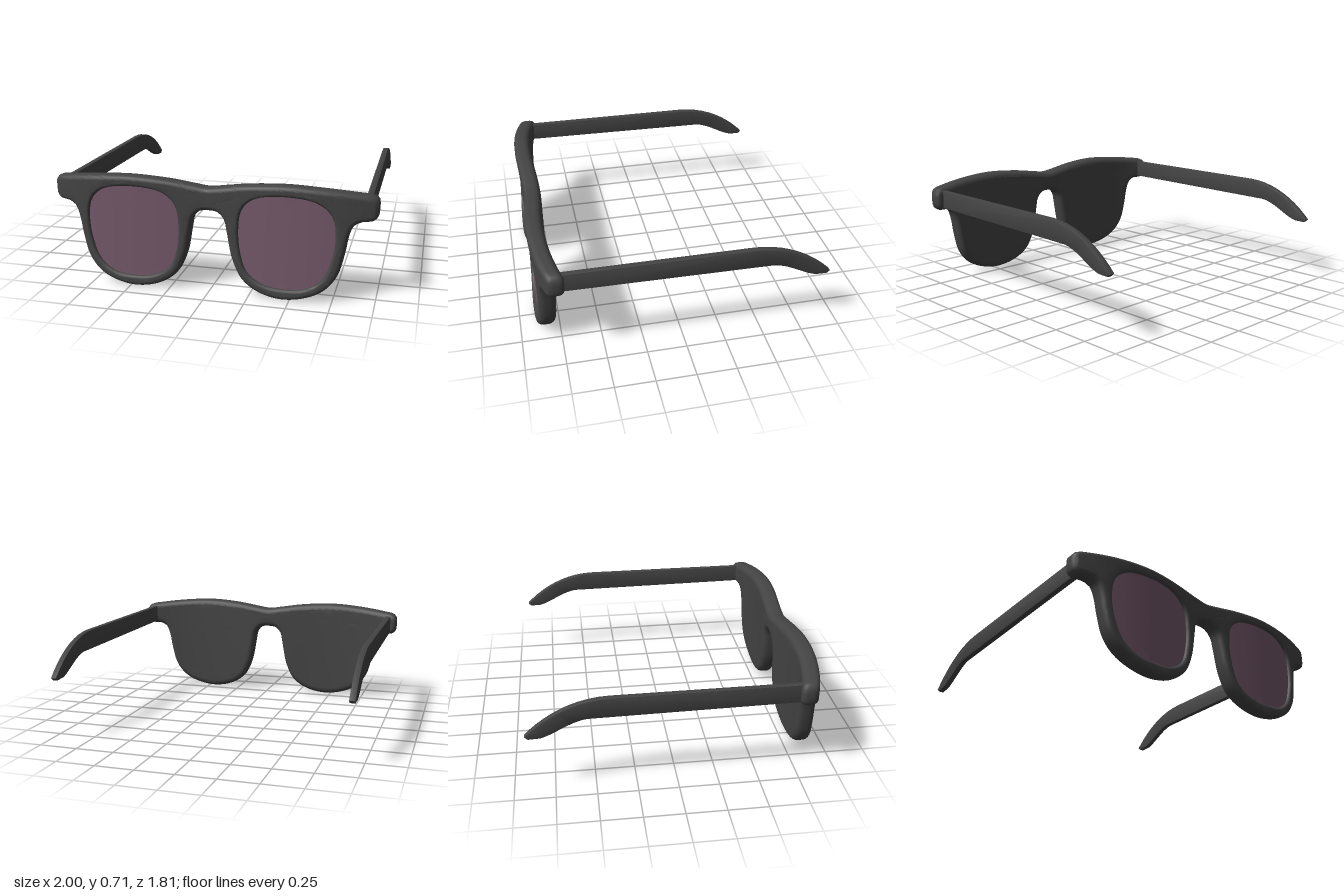
import * as THREE from 'three';
import { toCreasedNormals } from 'three/addons/utils/BufferGeometryUtils.js';

const frameMaterial = new THREE.MeshStandardMaterial({ color: 0x444444 });
const lensMaterial = new THREE.MeshStandardMaterial({ color: 0x75596a });
const HALF = 0.055; // half the thickness of the frame front

// Smooth closed loop through a few points, counter-clockwise
function smoothLoop(points, count) {
  const curve = new THREE.CatmullRomCurve3(
    points.map(([x, y]) => new THREE.Vector3(x, y, 0)), true, 'centripetal');
  const loop = curve.getSpacedPoints(count).slice(0, count).map(p => new THREE.Vector2(p.x, p.y));
  return THREE.ShapeUtils.isClockWise(loop) ? loop.reverse() : loop;
}

// Move a counter-clockwise loop outwards (or inwards if negative)
function offset(loop, distance) {
  const n = loop.length;
  return loop.map((p, i) => {
    const t = loop[(i + 1) % n].clone().sub(loop[(i + n - 1) % n]).normalize();
    return new THREE.Vector2(p.x + t.y * distance, p.y - t.x * distance);
  });
}

// Join successive loops, each { loop, z }, with triangles
function loft(triangles, layers) {
  const at = (layer, i) => {
    const p = layer.loop[i % layer.loop.length];
    return new THREE.Vector3(p.x, p.y, layer.z);
  };
  for (let k = 0; k < layers.length - 1; k++) {
    const a = layers[k], b = layers[k + 1];
    for (let i = 0; i < a.loop.length; i++) {
      triangles.push([at(a, i), at(b, i), at(b, i + 1)], [at(a, i), at(b, i + 1), at(a, i + 1)]);
    }
  }
}

// Fill a loop at depth z, facing forwards or backwards
function cap(triangles, loop, holes, z, backwards = false) {
  const all = [loop, ...holes].flat();
  for (const f of THREE.ShapeUtils.triangulateShape(loop.slice(), holes.map(h => h.slice()))) {
    const t = f.map(i => new THREE.Vector3(all[i].x, all[i].y, z));
    triangles.push(backwards ? t.reverse() : t);
  }
}

// Gentle wave of the front seen from above
function bend(x) {
  const a = Math.abs(x);
  return a < 0.47
    ? 0.825 + 0.023 * (1 - Math.cos(Math.PI * a / 0.47)) / 2
    : 0.848 - 0.08 * ((a - 0.47) / 0.53) ** 2.3;
}

// Split long edges so that the faces can follow the wave, then bend them
function bentGeometry(triangles) {
  const positions = [];
  const stack = triangles.slice();
  while (stack.length) {
    const t = stack.pop();
    const lengths = t.map((p, i) => p.distanceTo(t[(i + 1) % 3]));
    const longest = Math.max(...lengths);
    if (longest > 0.08) {
      const i = lengths.indexOf(longest);
      const a = t[i], b = t[(i + 1) % 3], c = t[(i + 2) % 3];
      const m = a.clone().add(b).multiplyScalar(0.5);
      stack.push([a, m, c], [m, b, c]);
    } else {
      for (const p of t) positions.push(p.x, p.y, p.z + bend(p.x));
    }
  }
  const geometry = new THREE.BufferGeometry();
  geometry.setAttribute('position', new THREE.Float32BufferAttribute(positions, 3));
  return toCreasedNormals(geometry, 0.7);
}

function addMesh(group, name, geometry, material) {
  const mesh = new THREE.Mesh(geometry, material);
  mesh.name = name;
  group.add(mesh);
}

export function createModel() {
  const group = new THREE.Group();
  group.name = 'sunglasses';

  // Outline of one half of the frame, from top centre round to the bridge
  const half = [
    [0.1, 0.673], [0.25, 0.695], [0.48, 0.71], [0.7, 0.698], [0.9, 0.675], [0.975, 0.662],
    [0.997, 0.64], [1, 0.59], [0.995, 0.54], [0.97, 0.516], [0.9, 0.508], [0.86, 0.485],
    [0.835, 0.42], [0.815, 0.31], [0.78, 0.18], [0.72, 0.095], [0.63, 0.038], [0.47, 0.004],
    [0.32, 0.03], [0.21, 0.1], [0.147, 0.22], [0.11, 0.4], [0.095, 0.47], [0.055, 0.513],
  ];
  const mirrored = half.map(([x, y]) => [-x, y]).reverse();
  const outline = smoothLoop([[0, 0.66], ...half, [0, 0.52], ...mirrored], 200);

  // Lens openings, mirrored
  const lensPoints = [
    [0.47, 0.645], [0.66, 0.615], [0.74, 0.54], [0.762, 0.41], [0.742, 0.27], [0.695, 0.16],
    [0.6, 0.09], [0.47, 0.073], [0.34, 0.09], [0.24, 0.155], [0.198, 0.27], [0.185, 0.41],
    [0.205, 0.54], [0.28, 0.615],
  ];
  const lenses = [1, -1].map(s => smoothLoop(lensPoints.map(([x, y]) => [s * x, y]), 64));

  // Frame: rounded outer edge, open front face, closed back
  const triangles = [];
  const layers = [];
  const steps = 5;
  const rim = (radius, depth, angle, side) => layers.push({
    loop: offset(outline, -radius * (1 - Math.cos(angle))),
    z: side * (HALF - depth * (1 - Math.sin(angle))),
  });
  for (let i = steps; i >= 0; i--) rim(0.028, 0.035, i / steps * Math.PI / 2, 1);
  for (let i = 0; i <= steps; i++) rim(0.04, 0.045, i / steps * Math.PI / 2, -1);
  loft(triangles, layers);
  cap(triangles, layers.at(-1).loop, [], -HALF, true);
  cap(triangles, layers[0].loop, lenses.map(l => offset(l, 0.018)), HALF);

  // Rounded inner edge of each opening
  const inset = 0.022;
  for (const lens of lenses) {
    const lip = [];
    for (let i = 0; i <= 4; i++) {
      const a = i / 4 * Math.PI / 2;
      lip.push({ loop: offset(lens, 0.018 * (1 - Math.cos(a))), z: HALF - inset * (1 - Math.sin(a)) });
    }
    loft(triangles, lip);
  }
  addMesh(group, 'frameFront', bentGeometry(triangles), frameMaterial);

  // Lenses
  lenses.forEach((lens, i) => {
    const face = [];
    cap(face, lens, [], HALF - inset);
    addMesh(group, i ? 'rightLens' : 'leftLens', bentGeometry(face), lensMaterial);
  });

  // Temples: side profile as [-z, y], with a drooping tip
  const profile = new THREE.Shape();
  profile.moveTo(-0.76, 0.53);
  profile.lineTo(0.54, 0.515);
  profile.bezierCurveTo(0.64, 0.505, 0.74, 0.42, 0.82, 0.403);
  profile.lineTo(0.89, 0.4);
  profile.lineTo(0.911, 0.418);
  profile.bezierCurveTo(0.8, 0.53, 0.63, 0.645, 0.4, 0.645);
  profile.lineTo(-0.76, 0.648);
  const bevel = 0.005;
  for (const [name, x] of [['leftTemple', 0.938], ['rightTemple', -0.938]]) {
    const geometry = new THREE.ExtrudeGeometry(profile, {
      depth: 0.028, curveSegments: 10,
      bevelSize: bevel, bevelThickness: bevel, bevelOffset: -bevel, bevelSegments: 2,
    });
    geometry.translate(0, 0, -0.014).rotateY(Math.PI / 2).translate(x, 0, 0);
    addMesh(group, name, toCreasedNormals(geometry, 0.6), frameMaterial);
  }
  return group;
}
